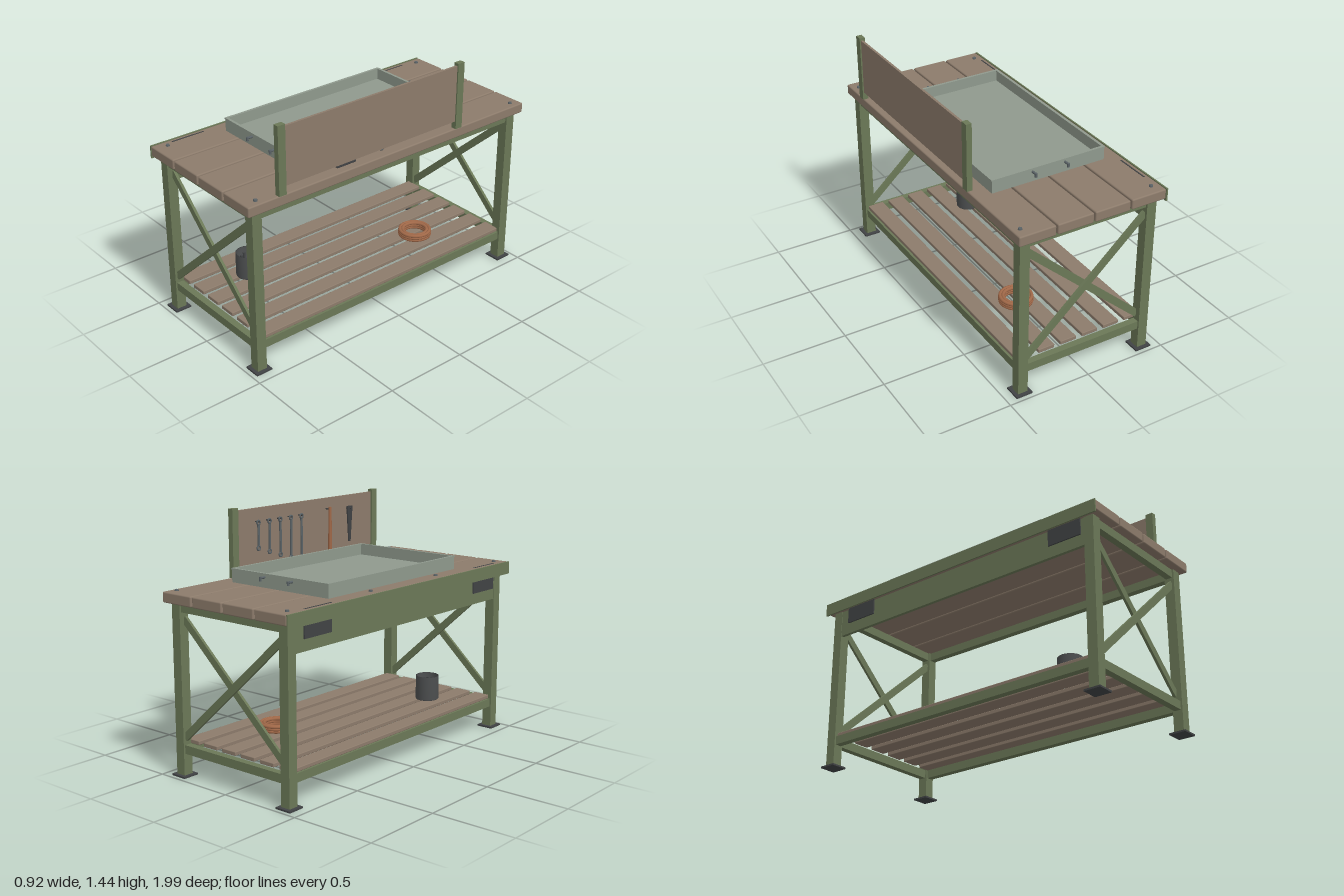
import * as THREE from 'three';
import { RoundedBoxGeometry } from 'three/addons/geometries/RoundedBoxGeometry.js';

const mat = (name, color, side = THREE.FrontSide) => {
  const m = new THREE.MeshStandardMaterial({ color, side });
  m.name = name;
  return m;
};

export function createModel() {
  const wood = mat('weathered wood', 0x8c7b6b);
  const green = mat('green paint', 0x6b7857);
  const trayGrey = mat('tray grey', 0x8f998d);
  const steel = mat('tool steel', 0x5a6266);
  const dark = mat('dark iron', 0x414345);
  const canGrey = mat('can grey', 0x4c4e4f, THREE.DoubleSide);
  const copper = mat('copper brown', 0xa06848);

  const model = new THREE.Group();
  model.name = 'workbench';

  const add = (parent, name, geometry, material, x, y, z) => {
    const mesh = new THREE.Mesh(geometry, material);
    mesh.name = name;
    mesh.position.set(x, y, z);
    parent.add(mesh);
    return mesh;
  };
  const box = (name, material, w, h, d, x, y, z, parent = model) =>
    add(parent, name, new THREE.BoxGeometry(w, h, d), material, x, y, z);
  const plank = (name, w, h, d, x, y, z, r) =>
    add(model, name, new RoundedBoxGeometry(w, h, d, 2, r), wood, x, y, z);
  const rod = (name, material, rTop, rBottom, h, x, y, z, parent = model) =>
    add(parent, name, new THREE.CylinderGeometry(rTop, rBottom, h, 16), material, x, y, z);

  // Legs with foot plates
  for (const sx of [-1, 1]) for (const sz of [-1, 1]) {
    box('leg', green, 0.06, 0.98, 0.06, sx * 0.395, 0.495, sz * 0.925);
    box('footPlate', dark, 0.1, 0.01, 0.1, sx * 0.395, 0.005, sz * 0.925);
  }

  // Rails and crossed end braces
  for (const s of [-1, 1]) {
    for (const y of [0.16, 0.96]) {
      box('endRail', green, 0.73, 0.05, 0.04, 0, y, s * 0.925);
      box('sideRail', green, 0.04, 0.05, 1.79, s * 0.395, y, 0);
    }
    for (const dir of [-1, 1]) {
      const length = Math.hypot(0.74, 0.67);
      const brace = box('brace', green, length, 0.042, 0.016, 0, 0.56, s * 0.925 + dir * 0.008);
      brace.rotation.z = dir * Math.atan2(0.67, 0.74);
    }
  }

  // Long apron, edge strip and two dark plates let into the top
  box('apron', green, 0.02, 0.16, 1.79, -0.412, 0.903, 0);
  box('edgeStrip', green, 0.009, 0.075, 1.99, -0.459, 1.008, 0);
  for (const s of [-1, 1]) box('slotPlate', dark, 0.008, 0.157, 0.21, -0.427, 0.9685, s * 0.75 + 0.02);

  // Table planks and shelf slats
  for (let i = 0; i < 4; i++) plank('tablePlank', 0.219, 0.06, 1.99, -0.3435 + i * 0.229, 1.015, 0, 0.008);
  for (let i = 0; i < 6; i++) plank('shelfSlat', 0.102, 0.023, 1.8, -0.353 + i * 0.1412, 0.197, 0, 0.004);

  // Bolts in the table top
  for (const [x, z] of [[-0.4, -0.93], [0.41, -0.93], [-0.4, -0.27], [-0.4, 0.32], [-0.4, 0.92], [0.41, 0.92]])
    rod('bolt', steel, 0.01, 0.012, 0.01, x, 1.049, z);

  // Shallow tray with four pegs
  const tray = new THREE.Group();
  tray.name = 'tray';
  model.add(tray);
  box('trayFloor', trayGrey, 0.71, 0.012, 1.13, 0, 1.051, 0, tray);
  for (const s of [-1, 1]) {
    box('trayLongWall', trayGrey, 0.01, 0.078, 1.13, s * 0.35, 1.084, 0, tray);
    box('trayEndWall', trayGrey, 0.69, 0.078, 0.01, 0, 1.084, s * 0.56, tray);
    box('trayLongRim', trayGrey, 0.016, 0.008, 1.136, s * 0.35, 1.121, 0, tray);
    box('trayEndRim', trayGrey, 0.694, 0.008, 0.016, 0, 1.121, s * 0.56, tray);
    for (const x of [-0.1, 0.105]) {
      rod('trayPeg', steel, 0.007, 0.007, 0.04, x, 1.103, s * 0.582, tray).rotation.x = Math.PI / 2;
      rod('pegTip', steel, 0.007, 0.007, 0.024, x, 1.098, s * 0.598, tray);
    }
  }

  // Tool board between two posts
  for (const z of [0.781, -0.461]) box('boardPost', green, 0.033, 0.395, 0.047, 0.4415, 1.2425, z);
  box('toolBoard', wood, 0.014, 0.335, 1.2, 0.443, 1.2575, 0.16);

  // Row of ring spanners, longest towards the hammer
  for (let i = 0; i < 5; i++) {
    const length = 0.18 + i * 0.03, z = -0.29 + i * 0.0915, top = 1.36;
    const spanner = new THREE.Group();
    spanner.name = 'spanner';
    model.add(spanner);
    box('spannerShaft', steel, 0.007, length - 0.05, 0.014, 0.412, top - length / 2, z, spanner);
    for (const y of [top - 0.016, top - length + 0.016]) {
      const ring = add(spanner, 'spannerRing', new THREE.TorusGeometry(0.012, 0.005, 8, 20), steel, 0.412, y, z);
      ring.rotation.y = Math.PI / 2;
    }
    rod('hangingPin', dark, 0.004, 0.004, 0.035, 0.422, top - 0.012, z, spanner).rotation.z = Math.PI / 2;
  }

  // Hammer hanging head down
  rod('hammerHandle', copper, 0.01, 0.012, 0.29, 0.403, 1.228, 0.325);
  add(model, 'hammerHead', new RoundedBoxGeometry(0.036, 0.036, 0.13, 2, 0.005), dark, 0.403, 1.073, 0.328);
  rod('hammerPin', dark, 0.004, 0.004, 0.035, 0.422, 1.36, 0.325).rotation.z = Math.PI / 2;

  // Tapered hand tool
  const blade = new THREE.CylinderGeometry(0.03, 0.012, 0.22, 4).rotateY(Math.PI / 4).scale(0.35, 1, 1);
  add(model, 'taperedTool', blade, dark, 0.412, 1.25, 0.52);
  rod('toolPin', dark, 0.004, 0.004, 0.04, 0.418, 1.345, 0.52).rotation.z = Math.PI / 2;

  // Open can on the shelf with a few rods inside
  const can = [[0, 0], [0.068, 0], [0.07, 0.004], [0.07, 0.147], [0.065, 0.147], [0.065, 0.01], [0, 0.01]]
    .map(([x, y]) => new THREE.Vector2(x, y));
  add(model, 'can', new THREE.LatheGeometry(can, 32), canGrey, -0.153, 0.208, 0.593);
  for (let i = 0; i < 6; i++)
    rod('canRod', dark, 0.008, 0.008, 0.12, -0.153 + 0.035 * Math.cos(i * 1.05), 0.275, 0.593 + 0.035 * Math.sin(i * 1.05));

  // Coil of rope on the shelf
  for (let i = 0; i < 3; i++) {
    const coil = add(model, 'ropeCoil', new THREE.TorusGeometry(0.09, 0.0105, 10, 40), copper, 0.132, 0.217 + i * 0.0135, -0.455);
    coil.rotation.x = Math.PI / 2;
    const inner = add(model, 'ropeCoilInner', new THREE.TorusGeometry(0.073, 0.0105, 10, 40), copper, 0.132, 0.217 + i * 0.0135, -0.455);
    inner.rotation.x = Math.PI / 2;
  }
  return model;
}
